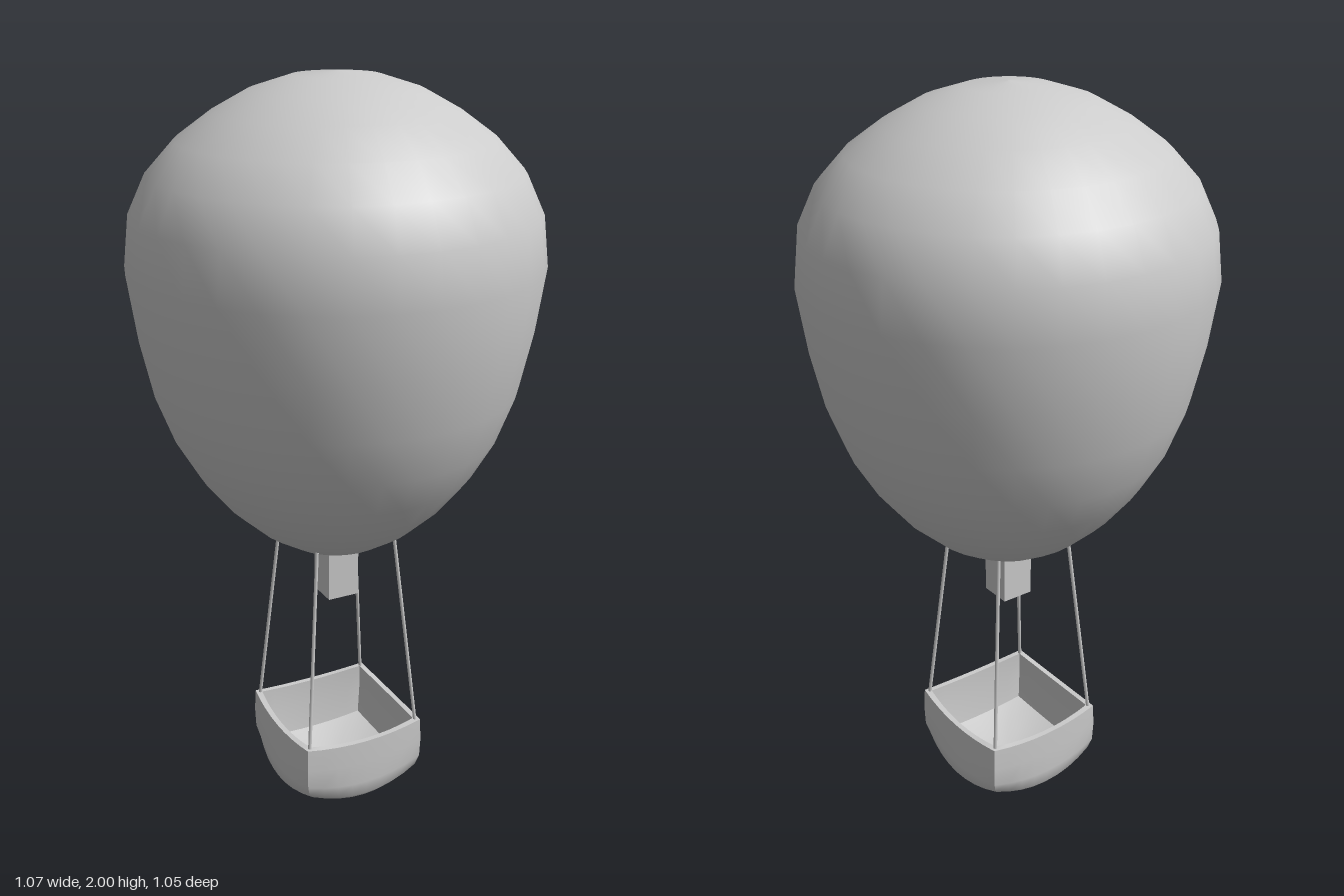
import * as THREE from 'three';
import { toCreasedNormals } from 'three/addons/utils/BufferGeometryUtils.js';

const material = new THREE.MeshStandardMaterial({ color: 0xcccccc });

function addPart(group, name, geometry) {
  const mesh = new THREE.Mesh(geometry, material);
  mesh.name = name;
  group.add(mesh);
  return mesh;
}

// One basket ring: a square with bowed sides; corners and side middles have their own height.
function ringPoints({ c, b, yc, ym }, perSide) {
  const points = [];
  for (let side = 0; side < 4; side++) {
    for (let i = 0; i < perSide; i++) {
      const t = -1 + (2 * i) / perSide;
      const bow = 1 - t * t;
      const p = new THREE.Vector3(c * t, yc + (ym - yc) * bow, c + b * bow);
      points.push(p.applyAxisAngle(new THREE.Vector3(0, 1, 0), (side * Math.PI) / 2));
    }
  }
  return points;
}

// Skin the rings from the underside, up the outside, over the rim and down to the floor.
function basketGeometry() {
  const perSide = 8;
  const n = perSide * 4;
  const rings = [
    { c: 0, b: 0, yc: 0.005, ym: 0.005 },
    { c: 0.06, b: 0.012, yc: 0.013, ym: 0.008 },
    { c: 0.115, b: 0.02, yc: 0.03, ym: 0.016 },
    { c: 0.15, b: 0.023, yc: 0.05, ym: 0.026 },
    { c: 0.168, b: 0.02, yc: 0.072, ym: 0.042 },
    { c: 0.177, b: 0.013, yc: 0.105, ym: 0.08 },
    { c: 0.179, b: 0.011, yc: 0.16, ym: 0.145 },
    { c: 0.177, b: 0.011, yc: 0.225, ym: 0.212 },
    { c: 0.162, b: 0.011, yc: 0.225, ym: 0.212 },
    { c: 0.162, b: 0.011, yc: 0.15, ym: 0.14 },
    { c: 0.152, b: 0.011, yc: 0.075, ym: 0.058 },
    { c: 0.08, b: 0.01, yc: 0.04, ym: 0.034 },
    { c: 0, b: 0, yc: 0.025, ym: 0.025 },
  ];
  const positions = [];
  const index = [];
  for (const ring of rings) {
    for (const p of ringPoints(ring, perSide)) positions.push(p.x, p.y, p.z);
  }
  for (let r = 0; r < rings.length - 1; r++) {
    for (let i = 0; i < n; i++) {
      const j = (i + 1) % n;
      const a = r * n + i, b = r * n + j, c = a + n, d = b + n;
      if (r > 0) index.push(a, b, d);
      if (r < rings.length - 2) index.push(a, d, c);
      else continue;
    }
  }
  const geometry = new THREE.BufferGeometry();
  geometry.setAttribute('position', new THREE.Float32BufferAttribute(positions, 3));
  geometry.setIndex(index);
  return toCreasedNormals(geometry, THREE.MathUtils.degToRad(55));
}

export function createModel() {
  const model = new THREE.Group();
  model.name = 'hotAirBalloon';

  // Envelope: smooth inverted drop, a little narrower front to back
  const profile = [
    [0, 0.742], [0.08, 0.749], [0.14, 0.77], [0.22, 0.82], [0.3, 0.893],
    [0.37, 0.98], [0.43, 1.083], [0.478, 1.21], [0.511, 1.36], [0.535, 1.53],
    [0.52, 1.66], [0.473, 1.76], [0.4, 1.84], [0.31, 1.905], [0.215, 1.957],
    [0.11, 1.99], [0, 2],
  ].map(([x, y]) => new THREE.Vector2(x, y));
  const envelope = addPart(model, 'envelope', new THREE.LatheGeometry(profile, 32));
  envelope.scale.z = 0.98;

  // Burner block under the envelope
  const burner = addPart(model, 'burner', new THREE.BoxGeometry(0.09, 0.2, 0.09));
  burner.position.y = 0.697;

  // Basket
  addPart(model, 'basket', basketGeometry());

  // Ropes from the rim corners to the envelope
  const up = new THREE.Vector3(0, 1, 0);
  for (const sx of [-1, 1]) {
    for (const sz of [-1, 1]) {
      const low = new THREE.Vector3(0.168 * sx, 0.2, 0.168 * sz);
      const high = new THREE.Vector3(0.115 * sx, 0.8, 0.115 * sz);
      const dir = high.clone().sub(low);
      const rope = addPart(model, 'rope', new THREE.CylinderGeometry(0.005, 0.005, dir.length(), 8));
      rope.position.copy(low).add(high).multiplyScalar(0.5);
      rope.quaternion.setFromUnitVectors(up, dir.normalize());
    }
  }
  return model;
}
